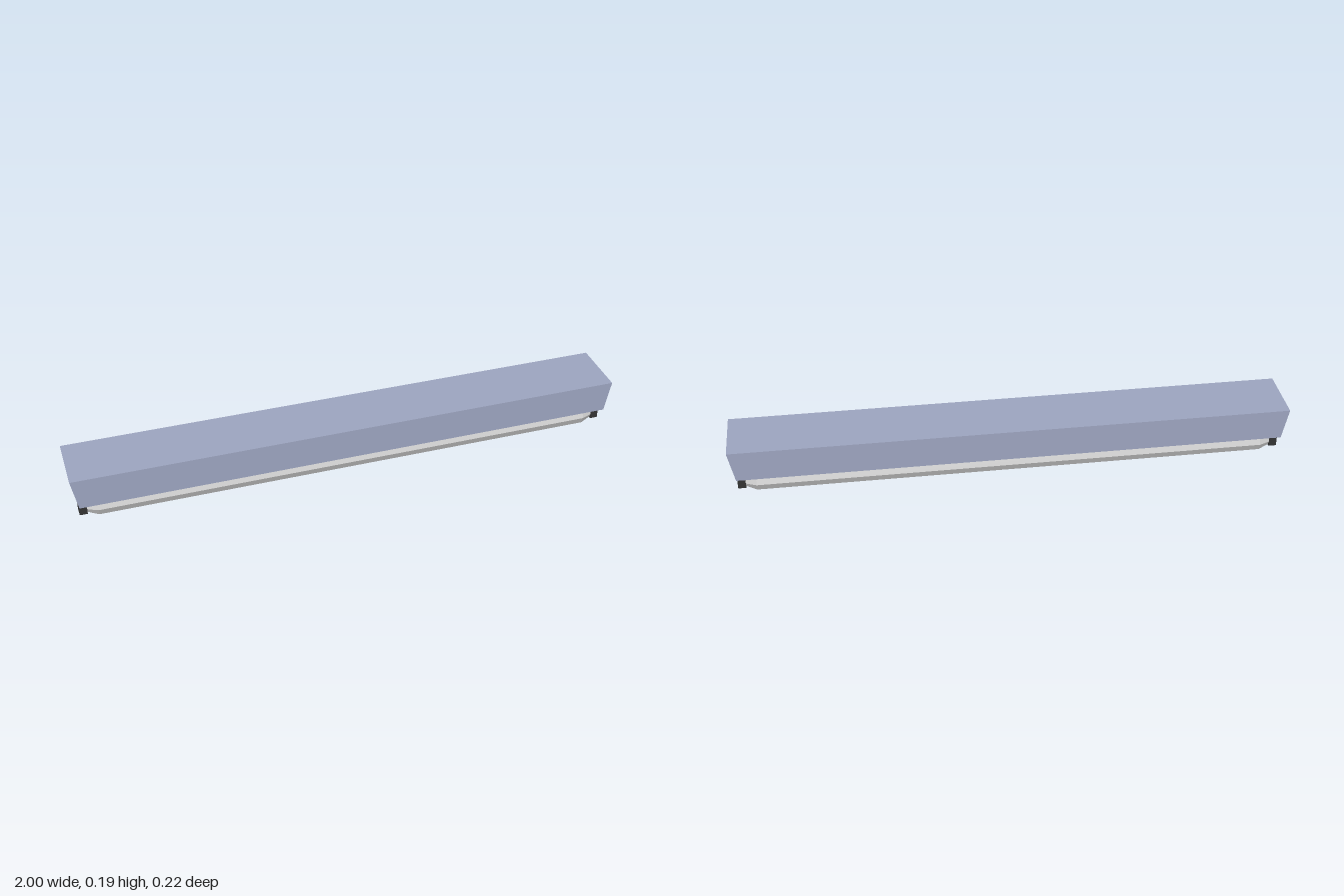
import * as THREE from 'three';

const paint = (color) => new THREE.MeshStandardMaterial({ color, flatShading: true });

export function createModel() {
  const model = new THREE.Group();
  const housingPaint = paint(0x9da5c0);
  const glass = paint(0xcccccc);
  const dark = paint(0x333333);

  const add = (name, geometry, material, x, y, z) => {
    const mesh = new THREE.Mesh(geometry, material);
    mesh.name = name;
    mesh.position.set(x, y, z);
    model.add(mesh);
  };

  // Housing: a long box whose ends slope inward towards the bottom
  const housing = new THREE.BoxGeometry(2, 0.115, 0.22);
  const p = housing.attributes.position;
  for (let i = 0; i < p.count; i++) {
    if (p.getY(i) < 0) {
      p.setX(i, Math.sign(p.getX(i)) * 0.978);
      p.setZ(i, Math.sign(p.getZ(i)) * 0.109);
    }
  }
  housing.computeVertexNormals();
  add('housing', housing, housingPaint, 0, 0.1375, 0);

  // Eight-sided lamp tube with tapered, closed ends
  const profile = [[0, -0.953], [0.02, -0.953], [0.0375, -0.912], [0.0375, 0.912], [0.02, 0.953], [0, 0.953]]
    .map(([r, y]) => new THREE.Vector2(r, y));
  const tube = new THREE.LatheGeometry(profile, 8).rotateZ(Math.PI / 2);

  // Socket holding each tube end below the housing
  const socket = new THREE.BoxGeometry(0.028, 0.062, 0.044);

  for (const [side, z] of [['front', 0.047], ['back', -0.05]]) {
    add(side + 'Tube', tube, glass, 0, 0.0385, z);
    for (const s of [-1, 1]) {
      add(side + (s > 0 ? 'LeftSocket' : 'RightSocket'), socket, dark, s * 0.964, 0.051, z);
    }
  }
  return model;
}
